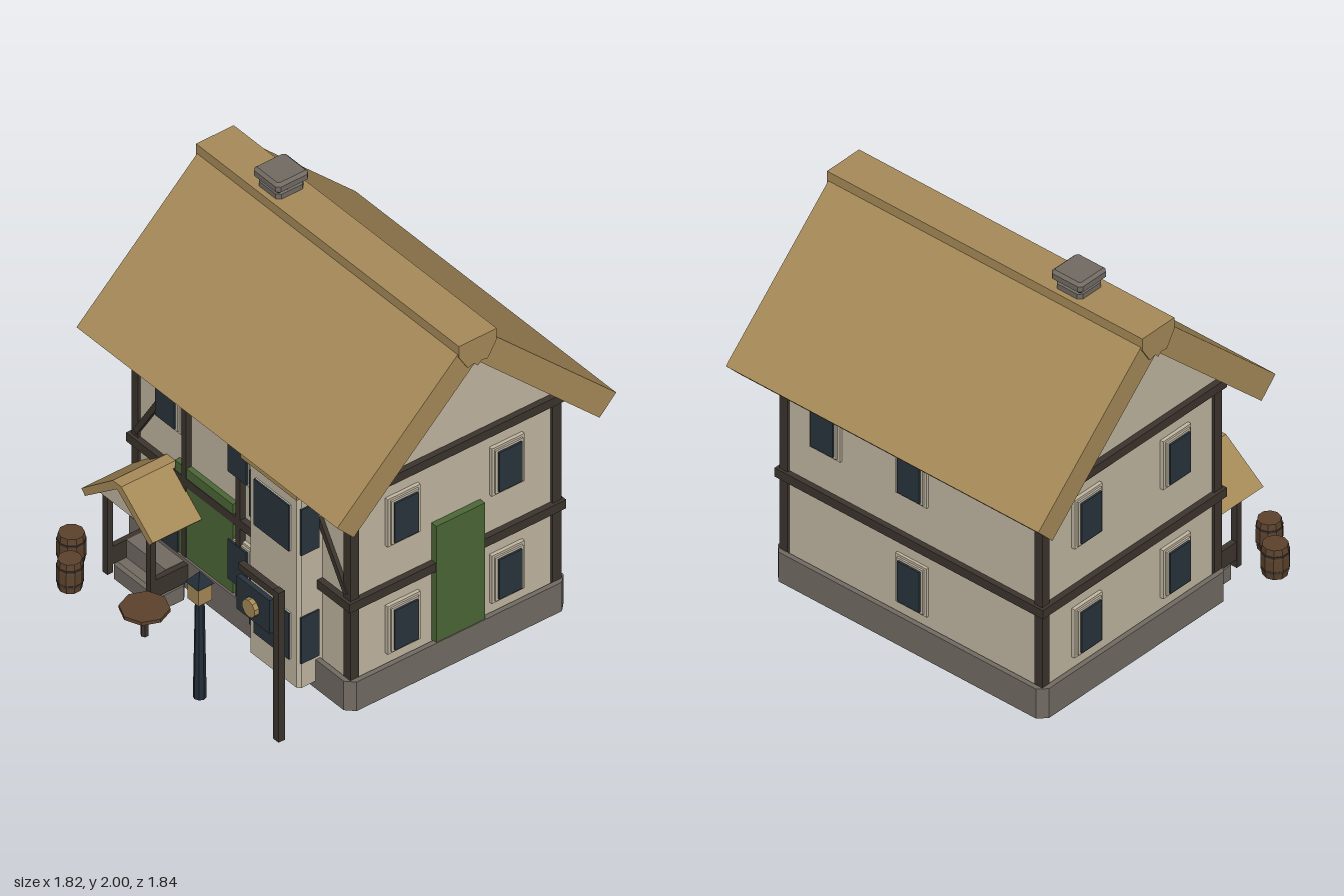
import * as THREE from 'three';

const mat = (name, color) => {
  const m = new THREE.MeshStandardMaterial({ color });
  m.name = name;
  return m;
};

export function createModel() {
  const root = new THREE.Group();
  root.name = 'timberHouse';
  const thatch = mat('thatch', 0xa68a58), plaster = mat('plaster', 0xc1b7a2);
  const timber = mat('timber', 0x3c342e), stone = mat('stone', 0x726b63);
  const green = mat('greenPaint', 0x4c6737), glass = mat('darkGlass', 0x29343d);
  const wood = mat('barrelWood', 0x5c422d), iron = mat('iron', 0x232e38);
  const doorWood = mat('doorWood', 0x4a3c28);

  const CZ = -0.155; // centre line of the house
  const HX = 0.745, HZ = 0.567; // half size of the walls
  const GROUND = 0.061;

  const add = (name, geo, m, parent = root) => {
    const mesh = new THREE.Mesh(geo, m);
    mesh.name = name;
    parent.add(mesh);
    return mesh;
  };
  // box given by its limits
  const box = (name, m, x0, x1, y0, y1, z0, z1, parent) => {
    const b = add(name, new THREE.BoxGeometry(x1 - x0, y1 - y0, z1 - z0), m, parent);
    b.position.set((x0 + x1) / 2, (y0 + y1) / 2, (z0 + z1) / 2);
    return b;
  };
  const flat = (geo) => {
    const g = geo.index ? geo.toNonIndexed() : geo;
    g.computeVertexNormals();
    return g;
  };
  const poly = (pts) => new THREE.Shape(pts.map(([x, y]) => new THREE.Vector2(x, y)));
  const extrude = (shape, depth) => new THREE.ExtrudeGeometry(shape, { depth, bevelEnabled: false });
  // symmetric profile given by its right half, top to bottom
  const mirrored = (half) => poly([...half, ...half.slice().reverse().filter(p => p[0] !== 0).map(([x, y]) => [-x, y])]);
  // profile across the house, extruded along x
  const alongX = (shape, half) => extrude(shape, half * 2).rotateY(Math.PI / 2).translate(-half, 0, CZ);
  const chamfered = (a, b, c) => [[a - c, -b], [a, c - b], [a, b - c], [a - c, b], [c - a, b], [-a, b - c], [-a, c - b], [c - a, -b]];
  // upright block with cut corners
  const block = (name, m, x, z, a, b, c, y0, y1, hole) => {
    const s = poly(chamfered(a, b, c));
    if (hole) s.holes.push(poly([[-hole[0], -hole[1]], [-hole[0], hole[1]], [hole[0], hole[1]], [hole[0], -hole[1]]]));
    return add(name, extrude(s, y1 - y0).rotateX(-Math.PI / 2).translate(x, y0, z), m);
  };
  // stone block bevelled on every edge
  const bevelled = (name, x, z, a, b, c, y0, y1) => {
    const geo = new THREE.ExtrudeGeometry(poly(chamfered(a - c, b - c, c * 0.6)), {
      depth: y1 - y0 - 2 * c, bevelEnabled: true, bevelSize: c, bevelThickness: c, bevelSegments: 1,
    });
    return add(name, geo.rotateX(-Math.PI / 2).translate(x, y0 + c, z), stone);
  };

  // plinth, open below, with lining and floor
  block('plinth', stone, 0, CZ, 0.783, 0.605, 0.04, GROUND, 0.219, [0.758, 0.58]);
  block('plinthLining', plaster, 0, CZ, 0.758, 0.58, 0.003, GROUND + 0.002, 0.16, [0.75, 0.572]);
  box('floor', stone, -0.752, 0.752, 0.148, 0.158, CZ - 0.574, CZ + 0.574);

  // walls with gables
  add('walls', alongX(mirrored([[0, 1.79], [HZ, 1.25], [HZ, 0.155]]), HX), plaster);

  // timber frame
  for (const sx of [-1, 1]) for (const sz of [-1, 1]) {
    const x = sx * 0.736, z = CZ + sz * 0.557;
    box('cornerPost', timber, x - 0.023, x + 0.023, GROUND - 0.002, 1.22, z - 0.024, z + 0.024);
  }
  for (const [y0, y1] of [[0.603, 0.65], [1.191, 1.237]])
    box('beltBeam', timber, -0.775, 0.775, y0, y1, CZ - 0.595, CZ + 0.597);
  for (const x of [-0.375, 0]) box('frontPost', timber, x - 0.015, x + 0.015, 0.2, 1.22, 0.4, 0.443);
  for (const s of [-1, 1]) {
    const brace = add('brace', new THREE.BoxGeometry(0.028, 0.58, 0.03), timber);
    brace.position.set(s * 0.575, 0.922, 0.417);
    brace.rotation.z = s * Math.atan2(0.29, 0.46);
  }

  // windows: frame, trim and pane on a wall
  const windowAt = (side, u, y) => {
    const g = new THREE.Group();
    g.name = 'window';
    box('frame', plaster, -0.09, 0.09, -0.13, 0.13, -0.01, 0.014, g);
    box('trim', plaster, -0.076, 0.076, -0.118, 0.118, -0.01, 0.023, g);
    box('pane', glass, -0.064, 0.064, -0.107, 0.107, 0.023, 0.0325, g);
    if (side === 'front') g.position.set(u, y, CZ + HZ + 0.003);
    if (side === 'back') { g.position.set(u, y, CZ - HZ); g.rotation.y = Math.PI; }
    if (side === 'left') { g.position.set(HX + 0.004, y, u); g.rotation.y = Math.PI / 2; }
    if (side === 'right') { g.position.set(-HX - 0.004, y, u); g.rotation.y = -Math.PI / 2; }
    root.add(g);
  };
  const LOW = 0.396, HIGH = 0.981;
  windowAt('front', -0.5, HIGH);
  windowAt('back', 0.5, HIGH);
  for (const y of [LOW, HIGH]) {
    windowAt('front', 0, y);
    windowAt('back', 0, y);
    for (const z of [0.133, -0.44]) {
      windowAt('left', z, y);
      windowAt('right', z, y);
    }
  }

  // green doors
  box('sideDoor', green, 0.74, 0.779, 0.213, 0.852, -0.3, -0.032);
  box('frontPanel', green, -0.44, -0.038, 0.21, 0.703, 0.4, 0.4395);

  // thatched roof with ridge cap
  add('roof', alongX(poly([[0.768, 1.229], [0.1, 1.86], [-0.1, 1.86], [-0.768, 1.229],
    [-0.677, 1.135], [0, 1.775], [0.677, 1.135]]), 0.903), thatch);
  add('ridgeCap', alongX(mirrored([[0.104, 1.905], [0.104, 1.845], [0.055, 1.765], [0.02, 1.772], [0, 1.752]]), 0.911), thatch);

  // chimney
  bevelled('chimneyStack', -0.452, CZ, 0.076, 0.076, 0.015, 1.8, 1.946);
  bevelled('chimneyCap', -0.452, CZ, 0.09, 0.09, 0.014, 1.944, 2);

  // bay with front and side panes
  block('bay', plaster, 0.375, 0.467, 0.174, 0.077, 0.015, 0.102, 1.16);
  box('bayRoof', thatch, 0.18, 0.57, 1.157, 1.181, 0.38, 0.572);
  for (const y of [0.239, 0.829]) {
    box('bayPane', glass, 0.255, 0.497, y, y + 0.25, 0.55, 0.558);
    box('bayPaneFrame', plaster, 0.255, 0.497, y, y + 0.25, 0.54, 0.55);
    for (const x of [0.198, 0.552]) box('baySidePane', glass, x - 0.005, x + 0.005, y, y + 0.25, 0.435, 0.535);
  }

  // porch
  const porchX = -0.5;
  add('porchRoof', extrude(poly([[0.03, 0.667], [-0.03, 0.667], [-0.247, 0.492], [-0.222, 0.465],
    [0, 0.637], [0.222, 0.465], [0.247, 0.492]]), 0.3).translate(porchX, 0, 0.41), thatch);
  add('porchGable', extrude(poly([[-0.18, 0.49], [0.18, 0.49], [0, 0.637]]), 0.03).translate(porchX, 0, 0.635), plaster);
  for (const s of [-1, 1]) {
    const x = porchX + s * 0.15;
    box('porchPost', timber, x - 0.016, x + 0.016, GROUND, 0.52, 0.627, 0.657);
    box('stepCheek', timber, x - 0.014, x + 0.014, 0.105, 0.2, 0.42, 0.655);
  }
  bevelled('lowerStep', porchX, 0.533, 0.16, 0.08, 0.014, 0, 0.105);
  box('upperStep', stone, -0.635, -0.365, 0.1, 0.202, 0.425, 0.55);
  box('doorFrame', doorWood, -0.62, -0.38, 0.12, 0.465, 0.33, 0.425);
  box('doorPanel', glass, -0.592, -0.411, 0.202, 0.43, 0.44, 0.448);

  // barrels with hoops
  for (const [x, z, r] of [[-0.81, 0.715, 0.066], [-0.67, 0.834, 0.061]]) {
    const profile = [[0, 0], [0.88, 0], [1, 0.05], [1, 0.105], [0.88, 0.157], [0, 0.157]]
      .map(([k, y]) => new THREE.Vector2(k * r, y));
    add('barrel', flat(new THREE.LatheGeometry(profile, 10)), wood).position.set(x, GROUND, z);
    for (const y of [0.1, 0.181])
      add('barrelHoop', flat(new THREE.CylinderGeometry(r, r, 0.011, 10)), timber).position.set(x, y, z);
  }

  // round table
  add('tableTop', flat(new THREE.CylinderGeometry(0.112, 0.112, 0.018, 8)), wood).position.set(-0.205, 0.206, 0.793);
  add('tableLeg', flat(new THREE.CylinderGeometry(0.018, 0.018, 0.14, 6)), timber).position.set(-0.205, 0.131, 0.793);

  // street lamp
  const lampX = 0.282, lampZ = 0.876;
  const square = (top, bottom, h) => flat(new THREE.CylinderGeometry(top * Math.SQRT2, bottom * Math.SQRT2, h, 4).rotateY(Math.PI / 4));
  add('lampPost', flat(new THREE.CylinderGeometry(0.021, 0.03, 0.537, 8)), iron).position.set(lampX, 0.33, lampZ);
  add('lantern', square(0.038, 0.037, 0.095), thatch).position.set(lampX, 0.64, lampZ);
  add('lanternRoof', square(0.001, 0.045, 0.06), iron).position.set(lampX, 0.714, lampZ);

  // hanging sign
  box('signPost', timber, 0.71, 0.748, GROUND, 0.875, 0.778, 0.812);
  box('signArm', timber, 0.465, 0.745, 0.835, 0.87, 0.778, 0.81);
  box('signBoard', glass, 0.455, 0.682, 0.614, 0.794, 0.785, 0.81);
  add('signDisc', flat(new THREE.CylinderGeometry(0.045, 0.045, 0.024, 10).rotateX(Math.PI / 2)), thatch).position.set(0.566, 0.693, 0.822);

  return root;
}
